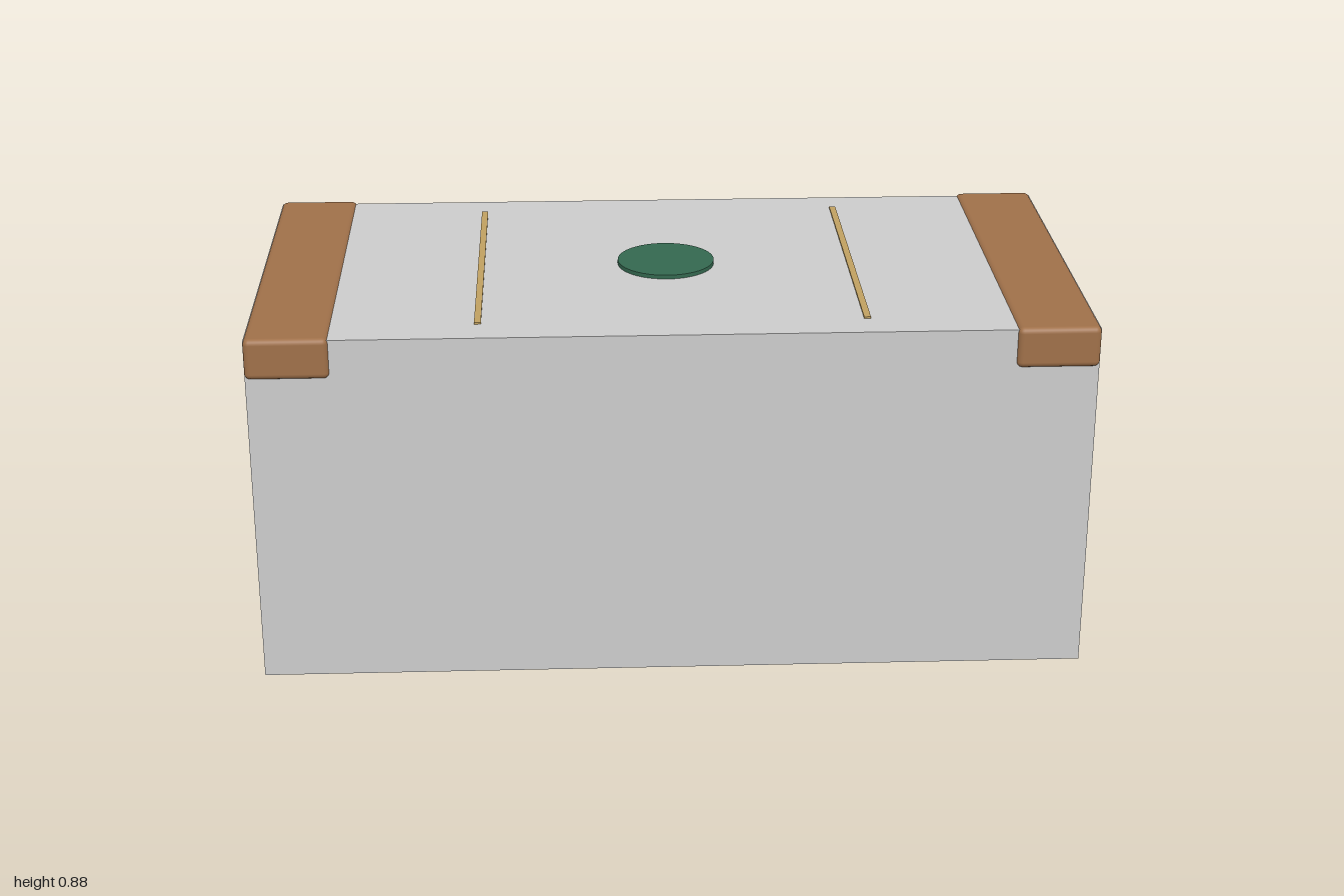
import * as THREE from 'three';
import { RoundedBoxGeometry } from 'three/addons/geometries/RoundedBoxGeometry.js';

export function createModel() {
  const model = new THREE.Group();
  const add = (name, geometry, color, x, y, z) => {
    const mesh = new THREE.Mesh(geometry, new THREE.MeshStandardMaterial({ color }));
    mesh.name = name;
    mesh.position.set(x, y, z);
    model.add(mesh);
    return mesh;
  };

  // Plain block standing on the ground
  const top = 0.874;
  add('body', new THREE.BoxGeometry(2, top, 1), 0xcccccc, 0, top / 2, 0);

  // Dark board set just under the top surface
  add('innerBoard', new THREE.BoxGeometry(1.62, 0.07, 0.998), 0x5a3828, 0, top - 0.036, 0);

  // Rounded end rails and thin inlay lines, mirrored
  for (const [side, s] of [['left', 1], ['right', -1]]) {
    add(side + 'Rail', new RoundedBoxGeometry(0.197, 0.1, 1.02, 3, 0.014), 0x9f7049, s * 0.902, 0.83, 0);
    add(side + 'Inlay', new THREE.BoxGeometry(0.016, 0.012, 0.82), 0xc0a060, s * 0.46, top - 0.002, 0);
  }

  // Round medallion in the middle of the top
  add('medallion', new THREE.CylinderGeometry(0.12, 0.12, 0.02, 48), 0x34684f, 0, top, 0);

  return model;
}
